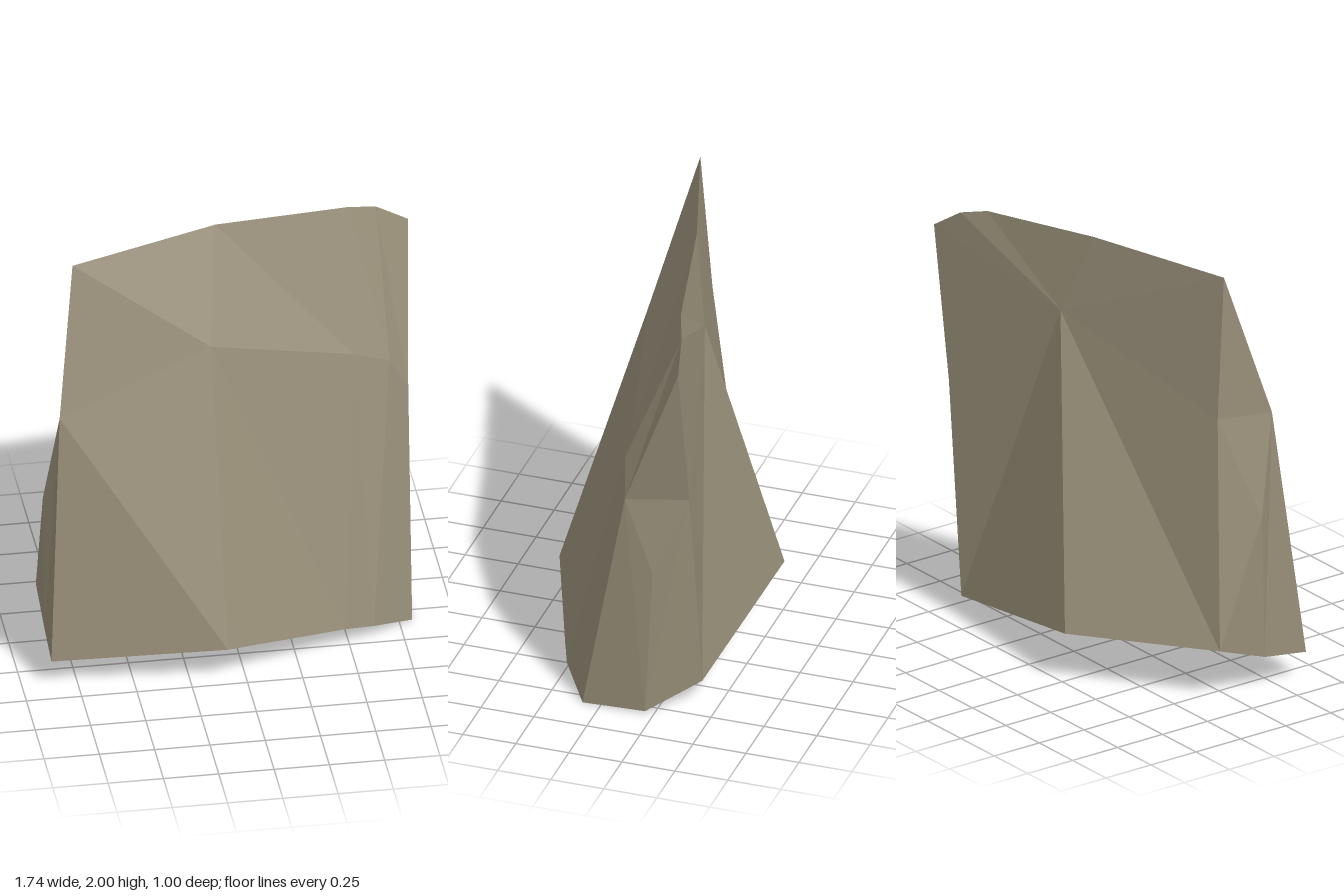
import * as THREE from 'three';

// Front sheet: three rows of five corners, running from left to right in x
const top = [[-0.72, 1.98, 0.05], [-0.04, 2, -0.165], [0.58, 1.95, -0.3], [0.715, 1.91, -0.35], [0.865, 1.81, -0.385]];
const mid = [[-0.81, 1.31, 0.25], [-0.1, 1.52, 0.09], [0.57, 1.32, -0.07], [0.735, 1.26, -0.09], [0.825, 1.1, -0.12]];
const low = [[-0.87, 0.13, 0.395], [-0.09, 0.18, 0.5], [0.48, 0.1, 0.28], [0.615, 0.07, 0.225], [0.81, 0, 0.085]];

// Back and side corners
const shoulder = [-0.74, 1.31, 0];
const hip = [-0.87, 0.84, 0.15];
const foot = [-0.865, 0.16, 0.17];
const heel = [-0.865, 0.25, -0.08];
const ridge = [0.1, 1.62, -0.25];
const tail = [-0.27, 0.24, -0.5];
const backLow = [0.62, 0.1, -0.415];
const backMid = [0.74, 1.1, -0.395];
const sideMid = [0.81, 0.73, -0.245];
const sideLow = [0.81, 0.01, -0.21];
const keel = [0.1, 0.05, 0.08];

// Flat-faced facets: each polygon becomes a fan, turned to face outward
function facets(name, polygons, material) {
  const positions = [];
  const centre = new THREE.Vector3(0, 0.95, 0);
  for (const polygon of polygons) {
    const p = polygon.map((c) => new THREE.Vector3(...c));
    for (let i = 1; i < p.length - 1; i++) {
      const tri = [p[0], p[i], p[i + 1]];
      const normal = tri[1].clone().sub(tri[0]).cross(tri[2].clone().sub(tri[0]));
      const out = tri[0].clone().add(tri[1]).add(tri[2]).divideScalar(3).sub(centre);
      if (normal.dot(out) < 0) tri.reverse();
      tri.forEach((v) => positions.push(v.x, v.y, v.z));
    }
  }
  const geometry = new THREE.BufferGeometry();
  geometry.setAttribute('position', new THREE.Float32BufferAttribute(positions, 3));
  geometry.computeVertexNormals();
  const mesh = new THREE.Mesh(geometry, material);
  mesh.name = name;
  return mesh;
}

export function createModel() {
  const group = new THREE.Group();
  group.name = 'rock';
  const stone = new THREE.MeshStandardMaterial({ color: 0x968d77, flatShading: true });
  stone.name = 'stone';

  const front = [];
  const crown = [];
  const underside = [];
  for (let i = 0; i < 4; i++) {
    front.push([top[i], mid[i], mid[i + 1], top[i + 1]]);
    front.push([mid[i], low[i], low[i + 1], mid[i + 1]]);
    crown.push([ridge, top[i + 1], top[i]]);
    underside.push([keel, low[i], low[i + 1]]);
  }
  crown.push([ridge, top[0], shoulder], [ridge, backMid, top[4]]);
  underside.push(
    [keel, low[4], sideLow], [keel, sideLow, backLow], [keel, backLow, tail],
    [keel, tail, heel], [keel, heel, foot], [keel, foot, low[0]],
  );

  group.add(
    facets('frontFace', front, stone),
    facets('backCrown', crown, stone),
    facets('backFace', [[ridge, shoulder, heel, tail], [ridge, tail, backLow, backMid]], stone),
    facets('leftSide', [
      [top[4], mid[4], backMid], [mid[4], sideMid, backMid],
      [mid[4], low[4], sideLow, sideMid], [backMid, sideMid, sideLow, backLow],
    ], stone),
    facets('rightSide', [
      [top[0], shoulder, mid[0]], [mid[0], shoulder, hip],
      [mid[0], hip, foot, low[0]], [hip, shoulder, heel, foot],
    ], stone),
    facets('underside', underside, stone),
  );
  return group;
}
